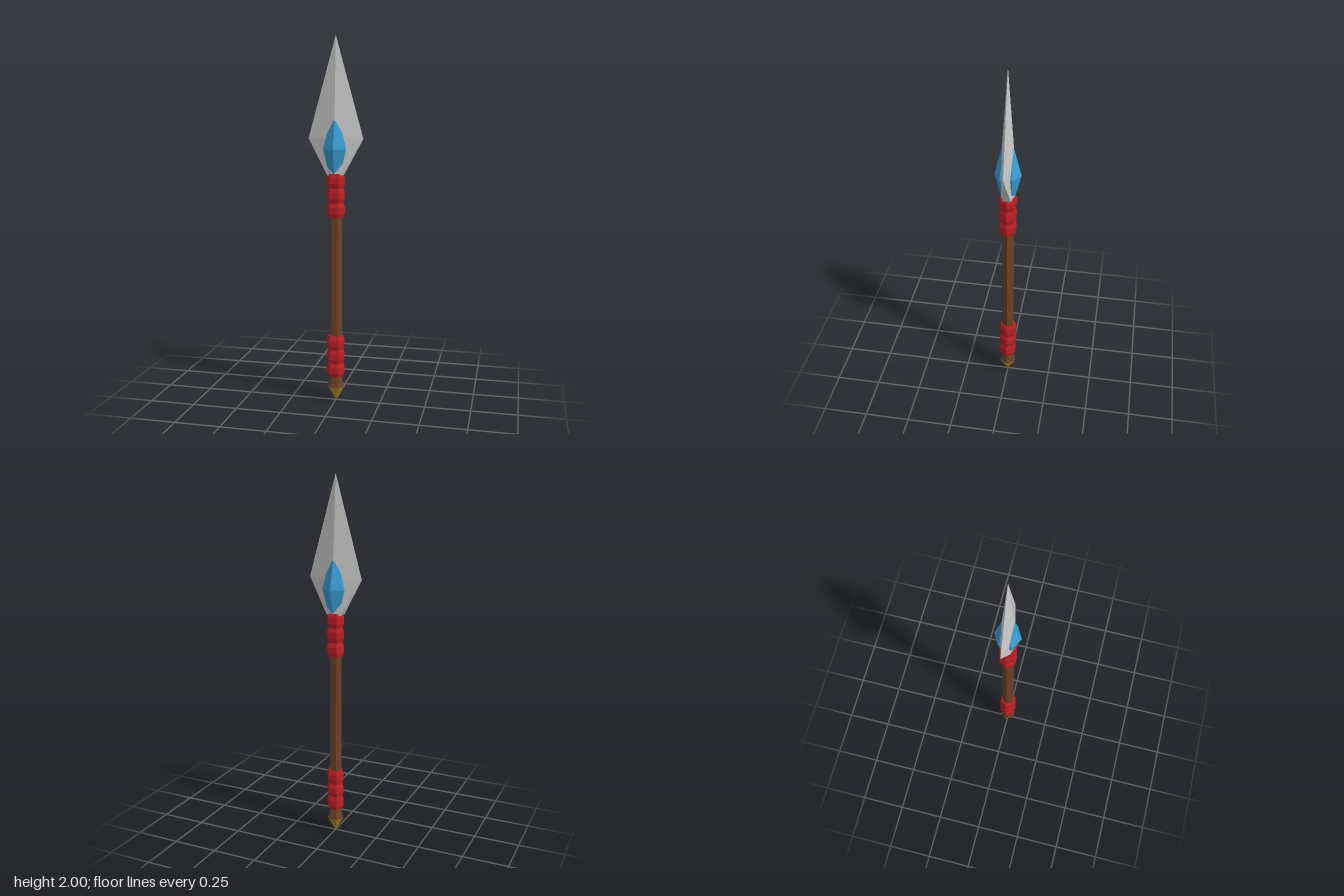
import * as THREE from 'three';

const material = (color) => new THREE.MeshStandardMaterial({ color, flatShading: true });
const wood = material(0x6b4228);
const cloth = material(0xc01f24);
const gold = material(0xb88a1c);
const steel = material(0xcccccc);
const crystal = material(0x3a9fd6);

// Six-sided turned part from [radius, y] pairs; turn = PI / 6 puts corners on the x axis
function hexTurned(name, points, mat, turn = Math.PI / 6) {
  const profile = points.map(([r, y]) => new THREE.Vector2(r, y));
  const geometry = new THREE.LatheGeometry(profile, 6).toNonIndexed();
  geometry.computeVertexNormals();
  const mesh = new THREE.Mesh(geometry, mat);
  mesh.name = name;
  mesh.rotation.y = turn;
  return mesh;
}

// Cloth binding: three bulging bands stacked between two heights
function wrap(name, y0, y1) {
  const bands = 3, step = (y1 - y0) / bands;
  const points = [[0, y0], [0.042, y0]];
  for (let i = 0; i < bands; i++) {
    const y = y0 + i * step;
    points.push([0.05, y + step * 0.3], [0.05, y + step * 0.7], [0.043, y + step]);
  }
  points.push([0, y1]);
  return hexTurned(name, points, cloth);
}

// Skin matching rings of [x, z] corners placed at given heights
function loft(rings) {
  const positions = [];
  for (let k = 0; k < rings.length - 1; k++) {
    const lo = rings[k], hi = rings[k + 1], n = lo.ring.length;
    for (let i = 0; i < n; i++) {
      const j = (i + 1) % n;
      const at = (level, m) => [level.ring[m][0], level.y, level.ring[m][1]];
      positions.push(...at(lo, i), ...at(lo, j), ...at(hi, j));
      positions.push(...at(lo, i), ...at(hi, j), ...at(hi, i));
    }
  }
  const geometry = new THREE.BufferGeometry();
  geometry.setAttribute('position', new THREE.Float32BufferAttribute(positions, 3));
  geometry.computeVertexNormals();
  return geometry;
}

// Corners: front ridge, left edge pair, back ridge, right edge pair
const bladeRing = (x, edgeZ, ridgeZ) => [
  [0, ridgeZ], [x, edgeZ], [x, -edgeZ], [0, -ridgeZ], [-x, -edgeZ], [-x, edgeZ],
];

export function createModel() {
  const spear = new THREE.Group();
  spear.name = 'spear';

  // Shaft, flaring to meet the butt spike
  spear.add(hexTurned('shaft', [[0, 0.08], [0.045, 0.08], [0.035, 0.14], [0.035, 1.25], [0, 1.25]], wood));
  spear.add(hexTurned('buttSpike', [[0, 0], [0.046, 0.08], [0, 0.085]], gold));

  // Grip bindings
  spear.add(wrap('lowerWrap', 0.14, 0.375));
  spear.add(wrap('upperWrap', 1.035, 1.275));

  // Blade: hexagonal root widening to knife edges, then a point
  const blade = new THREE.Mesh(loft([
    { y: 1.265, ring: bladeRing(0, 0, 0) },
    { y: 1.265, ring: bladeRing(0.042, 0.022, 0.038) },
    { y: 1.46, ring: bladeRing(0.15, 0, 0.038) },
    { y: 2, ring: bladeRing(0, 0, 0) },
  ]), steel);
  blade.name = 'blade';
  spear.add(blade);

  // Crystal set through the blade, ridges facing front and back
  spear.add(hexTurned('crystal', [[0, 1.265], [0.036, 1.265], [0.071, 1.405], [0.033, 1.555], [0, 1.6]], crystal, 0));

  return spear;
}
